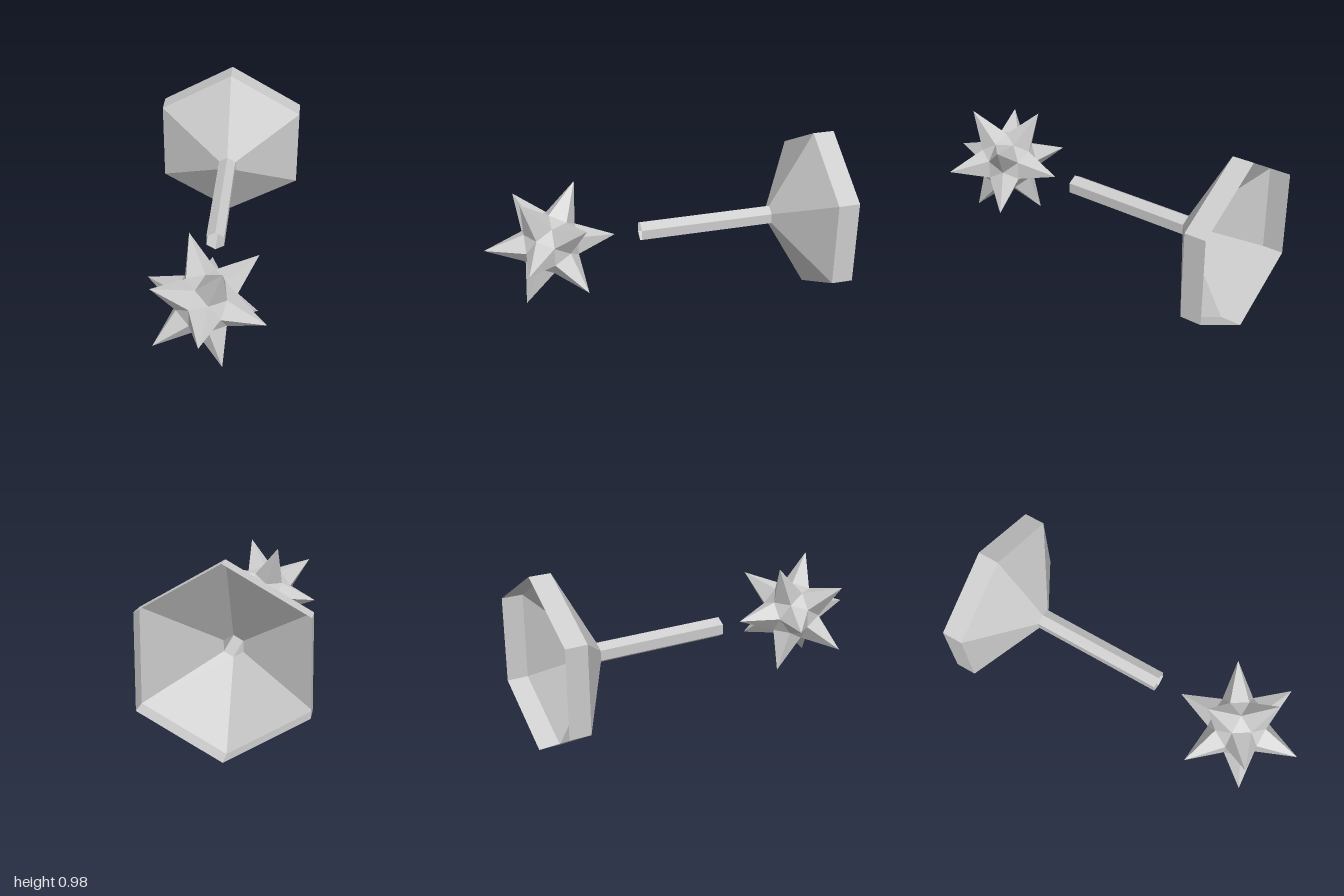
import * as THREE from 'three';

const AXIS_Y = 0.49;

function flatMesh(name, geometry, side = THREE.FrontSide) {
  const geo = geometry.index ? geometry.toNonIndexed() : geometry;
  geo.computeVertexNormals();
  const mesh = new THREE.Mesh(geo, new THREE.MeshStandardMaterial({ color: 0xcccccc, flatShading: true, side }));
  mesh.name = name;
  return mesh;
}

// Open six-sided shell along z; profile points are [radius, z] from back to front
function hexShell(name, profile) {
  const points = profile.map(([r, z]) => new THREE.Vector2(r, z));
  const geo = new THREE.LatheGeometry(points, 6).rotateX(Math.PI / 2);
  const mesh = flatMesh(name, geo, THREE.DoubleSide);
  mesh.position.y = AXIS_Y;
  return mesh;
}

// Twelve spikes on the corners of an icosahedron, with its edge midpoints pulled in
function spikedStar(tipRadius, coreRadius) {
  const ico = new THREE.IcosahedronGeometry(tipRadius, 0);
  ico.rotateX(Math.atan(2 / (1 + Math.sqrt(5)))).rotateZ(Math.PI / 2);
  const pos = ico.getAttribute('position');
  const points = [];
  for (let i = 0; i < pos.count; i += 3) {
    const tips = [0, 1, 2].map(k => new THREE.Vector3().fromBufferAttribute(pos, i + k));
    const mids = tips.map((t, k) => t.clone().add(tips[(k + 1) % 3]).setLength(coreRadius));
    tips.forEach((t, k) => points.push(t, mids[k], mids[(k + 2) % 3]));
    points.push(...mids);
  }
  return new THREE.BufferGeometry().setFromPoints(points);
}

export function createModel() {
  const model = new THREE.Group();
  model.name = 'starWand';

  // Hollow bowl at the back, open to the rear, and its hollow rod
  model.add(hexShell('bowl', [[0.49, -1], [0.49, -0.88], [0.058, -0.64]]));
  model.add(hexShell('rod', [[0.058, -0.64], [0.058, 0.125]]));

  // Star floating in front of the rod
  const star = flatMesh('star', spikedStar(0.365, 0.171));
  star.position.set(0, AXIS_Y + 0.002, 0.635);
  model.add(star);
  return model;
}
